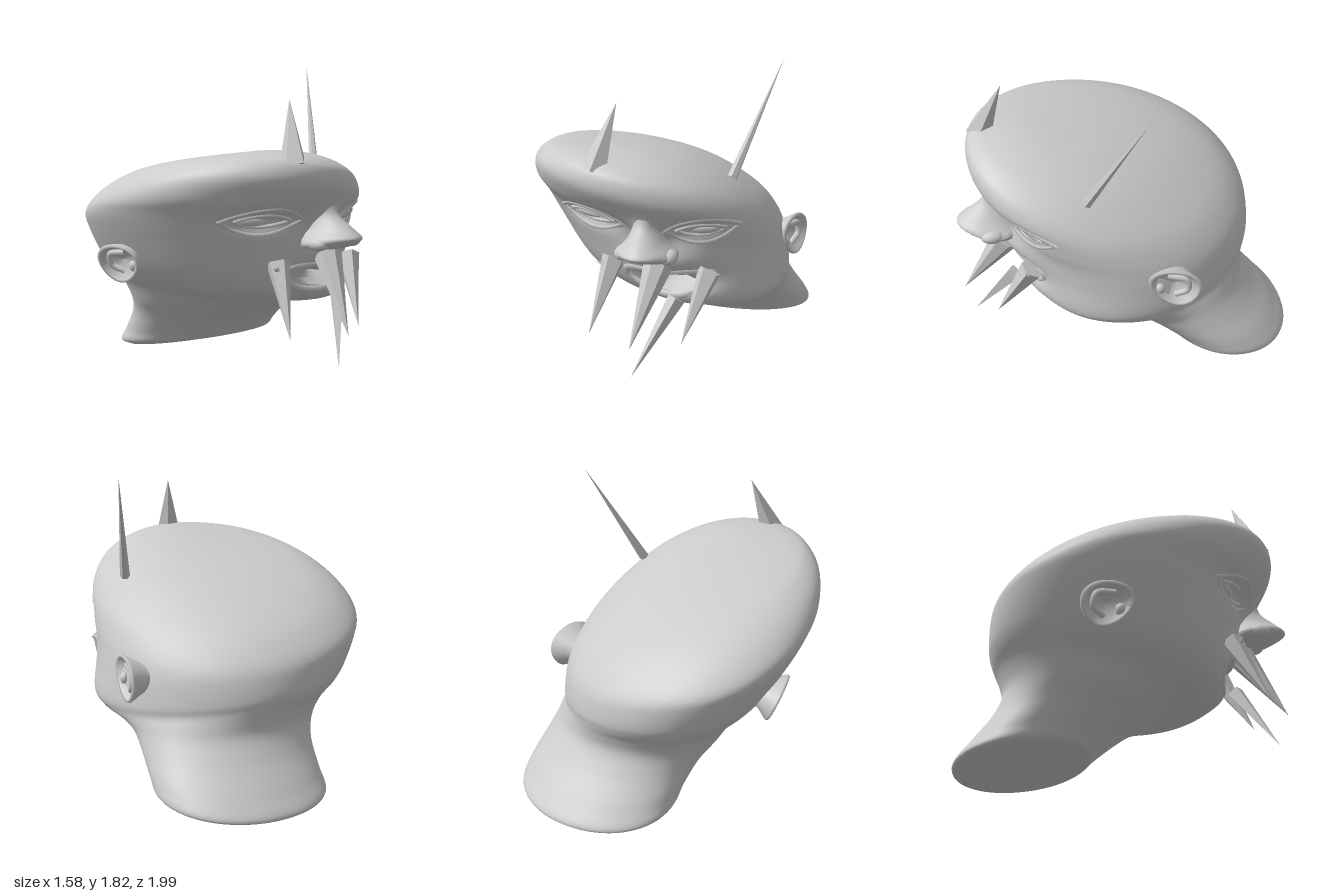
import * as THREE from 'three';
import { toCreasedNormals } from 'three/addons/utils/BufferGeometryUtils.js';

const V = (x, y, z) => new THREE.Vector3(x, y, z);
const skinMat = new THREE.MeshStandardMaterial({ color: 0xcccccc });
const spikeMat = new THREE.MeshStandardMaterial({ color: 0xcccccc, flatShading: true, side: THREE.DoubleSide });

function add(parent, name, geometry, material = skinMat) {
  const mesh = new THREE.Mesh(geometry, material);
  mesh.name = name;
  parent.add(mesh);
  return mesh;
}

// Skin over tilted oval rings, listed from bottom to top.
// Ring: [front z, front y, back z, back y, right x, left x, roll, yaw shear]
function loft(rings, cols, rows, power, deform = () => {}) {
  const pos = [], idx = [];
  const curves = [];
  const round = v => Math.sign(v) * Math.abs(v) ** (2 / power);
  for (let i = 0; i < cols; i++) {
    const t = (i / cols) * Math.PI * 2, c = round(Math.cos(t)), s = round(Math.sin(t));
    curves.push(new THREE.CatmullRomCurve3(rings.map(([zf, yf, zb, yb, xr, xl, roll = 0, yaw = 0]) => V(
      (xr + xl) / 2 + c * (xl - xr) / 2 + s * yaw,
      (yf + yb) / 2 + s * (yf - yb) / 2 - c * roll,
      (zf + zb) / 2 + s * (zf - zb) / 2))));
  }
  for (let j = 0; j <= rows; j++) {
    for (const curve of curves) {
      const p = curve.getPoint(j / rows);
      deform(p);
      pos.push(p.x, p.y, p.z);
    }
  }
  for (let j = 0; j < rows; j++) {
    for (let i = 0; i < cols; i++) {
      const a = j * cols + i, b = j * cols + (i + 1) % cols;
      idx.push(a, a + cols, b, b, a + cols, b + cols);
    }
  }
  // End caps
  for (const row of [0, rows]) {
    const mid = V(0, 0, 0), first = row * cols, centre = pos.length / 3;
    for (let i = 0; i < cols; i++) mid.add(V(...pos.slice((first + i) * 3, (first + i) * 3 + 3)));
    mid.divideScalar(cols);
    pos.push(mid.x, mid.y, mid.z);
    for (let i = 0; i < cols; i++) {
      const a = first + i, b = first + (i + 1) % cols;
      if (row) idx.push(a, centre, b); else idx.push(a, b, centre);
    }
  }
  const g = new THREE.BufferGeometry();
  g.setAttribute('position', new THREE.Float32BufferAttribute(pos, 3));
  g.setIndex(idx);
  return toCreasedNormals(g, 0.7);
}

// Face modelling: [x, y, x radius, y radius, push]
const bumps = [
  [-0.27, 1.0, 0.17, 0.06, -0.06], [0.36, 0.99, 0.15, 0.06, -0.05],
  [0.08, 0.98, 0.09, 0.09, 0.05], [0.17, 0.79, 0.22, 0.1, 0.07],
  [0.2, 0.655, 0.15, 0.045, -0.13], [0.27, 0.54, 0.16, 0.06, 0.03],
];
function shapeFace(p) {
  if (p.z < 0.3) return;
  const { x, y } = p;
  for (const [cx, cy, rx, ry, d] of bumps) p.z += d * Math.exp(-(((x - cx) / rx) ** 2) - ((y - cy) / ry) ** 2);
}

const tube = (pts, r, closed = false, seg = 32) =>
  new THREE.TubeGeometry(new THREE.CatmullRomCurve3(pts, closed), seg, r, 8, closed);

function spike(parent, name, base, tip, r, sides = 5) {
  const dir = tip.clone().sub(base), len = dir.length();
  const m = add(parent, name, new THREE.ConeGeometry(r, len, sides).translate(0, len / 2, 0), spikeMat);
  m.position.copy(base);
  m.quaternion.setFromUnitVectors(V(0, 1, 0), dir.normalize());
}

// Cupped ear, wide above and narrow at the lobe
function ear(side) {
  const g = new THREE.Group();
  g.name = side > 0 ? 'leftEar' : 'rightEar';
  const profile = [[0.06, -0.1], [0.085, -0.02], [0.12, 0.045], [0.116, 0.06], [0.102, 0.058], [0.08, 0.02], [0, -0.005]];
  const shell = new THREE.LatheGeometry(profile.map(p => new THREE.Vector2(...p)), 36).rotateZ(-side * Math.PI / 2);
  const p = shell.attributes.position;
  for (let i = 0; i < p.count; i++) {
    const y = p.getY(i);
    p.setXYZ(i, p.getX(i), y * 1.1, p.getZ(i) * (1.25 + y * 2.2) + y * 0.2);
  }
  shell.computeVertexNormals();
  add(g, 'earShell', shell);
  const fold = [[0.02, -0.07, 0.0], [0.035, -0.02, -0.07], [0.035, 0.05, -0.06], [0.025, 0.07, 0.05]];
  add(g, 'earInnerFold', tube(fold.map(([x, y, z]) => V(x * side, y, z)), 0.018));
  const flap = add(g, 'earFrontFlap', new THREE.SphereGeometry(1, 14, 10));
  flap.scale.set(0.025, 0.035, 0.03);
  flap.position.set(0.03 * side, -0.02, 0.09);
  g.rotation.y = -side * 0.25;
  return g;
}

export function createModel() {
  const model = new THREE.Group();
  model.name = 'spikedHead';

  // Cranium, jaw and neck
  const head = add(model, 'headAndNeck', loft([
    [-0.24, 0.12, -0.93, 0.0, -0.2, 0.7, 0, 0.03],
    [-0.19, 0.135, -0.995, 0.025, -0.245, 0.755, 0, 0.03],
    [-0.13, 0.19, -0.92, 0.13, -0.26, 0.75, 0, 0.03],
    [0.02, 0.3, -0.78, 0.3, -0.305, 0.71, 0, 0.04],
    [0.14, 0.37, -0.72, 0.42, -0.375, 0.69, 0.01, 0.05],
    [0.3, 0.435, -0.74, 0.52, -0.445, 0.69, 0.04, 0.08],
    [0.5, 0.475, -0.78, 0.6, -0.53, 0.7, 0.06, 0.11],
    [0.6, 0.55, -0.8, 0.66, -0.6, 0.715, 0.08, 0.11],
    [0.66, 0.8, -0.8, 0.78, -0.73, 0.7, 0.12, 0.08],
    [0.71, 0.95, -0.79, 0.83, -0.78, 0.685, 0.13, 0.06],
    [0.8, 1.07, -0.76, 0.88, -0.795, 0.665, 0.13, 0.04],
    [0.89, 1.21, -0.66, 0.98, -0.74, 0.615, 0.125, 0.03],
    [0.88, 1.3, -0.5, 1.08, -0.63, 0.53, 0.11, 0.03],
    [0.82, 1.345, -0.25, 1.19, -0.5, 0.4, 0.07, 0.02],
    [0.72, 1.37, 0.1, 1.295, -0.32, 0.22, 0.03, 0],
    [0.59, 1.378, 0.36, 1.35, -0.16, 0.06, 0.01, 0],
  ], 110, 96, 2.08, shapeFace));

  // Finds the face surface so that features sit on it
  const ray = new THREE.Raycaster();
  const onFace = (x, y, lift = 0) => {
    ray.set(V(x, y, 3), V(0, 0, -1));
    const hit = ray.intersectObject(head)[0];
    return V(x, y, (hit ? hit.point.z : 0.6) + lift);
  };

  // Nose
  add(model, 'nose', loft([
    [0.78, 0.825, 0.62, 0.83, 0.0, 0.2],
    [0.87, 0.84, 0.62, 0.84, -0.05, 0.25],
    [0.94, 0.87, 0.62, 0.87, -0.07, 0.27],
    [0.995, 0.905, 0.62, 0.91, -0.05, 0.23],
    [0.955, 0.945, 0.62, 0.95, -0.015, 0.19],
    [0.845, 1.03, 0.62, 1.03, 0.01, 0.15],
    [0.82, 1.1, 0.62, 1.1, -0.01, 0.17],
  ], 36, 30, 2));
  for (const x of [-0.03, 0.23]) {
    const wing = add(model, 'nostrilWing', new THREE.SphereGeometry(1, 16, 12));
    wing.scale.set(0.048, 0.04, 0.07);
    wing.position.set(x, 0.87, 0.81);
  }

  // Eyes with lids and brow folds
  for (const [x, y, w] of [[-0.27, 1.0, 0.13], [0.36, 0.985, 0.11]]) {
    const eye = add(model, 'eyeball', new THREE.SphereGeometry(1, 24, 16));
    eye.scale.set(w, 0.035, 0.035);
    eye.position.copy(onFace(x, y, -0.025));
    eye.rotation.y = x * 0.9;
    const arc = (k, h, lift) => Array.from({ length: 9 }, (_, i) => {
      const u = i / 4 - 1;
      return onFace(x + u * w * k, y + h * (1 - u * u), lift);
    });
    add(model, 'upperLid', tube(arc(1.15, 0.036, -0.002), 0.013));
    add(model, 'lowerLid', tube(arc(1.15, -0.036, -0.004), 0.012));
    add(model, 'browFold', tube(arc(1.7, 0.08, -0.012), 0.016));
    add(model, 'underEyeFold', tube(arc(1.6, -0.08, -0.012), 0.016));
  }

  // Lips around the open mouth
  const lips = Array.from({ length: 20 }, (_, i) => {
    const t = (i / 20) * Math.PI * 2;
    return onFace(0.17 + 0.25 * Math.cos(t), 0.665 + 0.085 * Math.sin(t) + 0.02 * Math.cos(2 * t), -0.016);
  });
  add(model, 'lips', tube(lips, 0.026, true, 60));

  // Fangs around the mouth
  spike(model, 'centreFang', V(0.14, 0.78, 0.72), V(0.05, 0.365, 0.98), 0.085, 7);
  spike(model, 'longNeedleFang', V(0.24, 0.58, 0.7), V(0.04, 0.17, 0.92), 0.05, 4);
  spike(model, 'rightFang', V(-0.15, 0.75, 0.62), V(-0.24, 0.35, 0.82), 0.07);
  spike(model, 'rightSpur', V(-0.13, 0.71, 0.64), V(-0.24, 0.735, 0.68), 0.045, 4);
  spike(model, 'leftFang', V(0.41, 0.74, 0.62), V(0.3, 0.36, 0.82), 0.07);
  spike(model, 'leftSpur', V(0.36, 0.67, 0.62), V(0.48, 0.74, 0.66), 0.045, 4);

  // Spikes on the skull
  spike(model, 'foreheadSpike', V(-0.2, 1.31, 0.79), V(-0.11, 1.67, 0.66), 0.08, 5);
  spike(model, 'foreheadSpur', V(-0.2, 1.33, 0.79), V(-0.33, 1.34, 0.79), 0.05, 4);
  spike(model, 'crownSpike', V(0.45, 1.18, 0.3), V(0.67, 1.82, 0.0), 0.03, 6);

  // Ears
  const left = ear(1);
  left.position.set(0.69, 0.7, -0.16);
  const right = ear(-1);
  right.position.set(-0.645, 0.725, -0.16);
  right.rotation.z = 0.42;
  model.add(left, right);

  return model;
}
